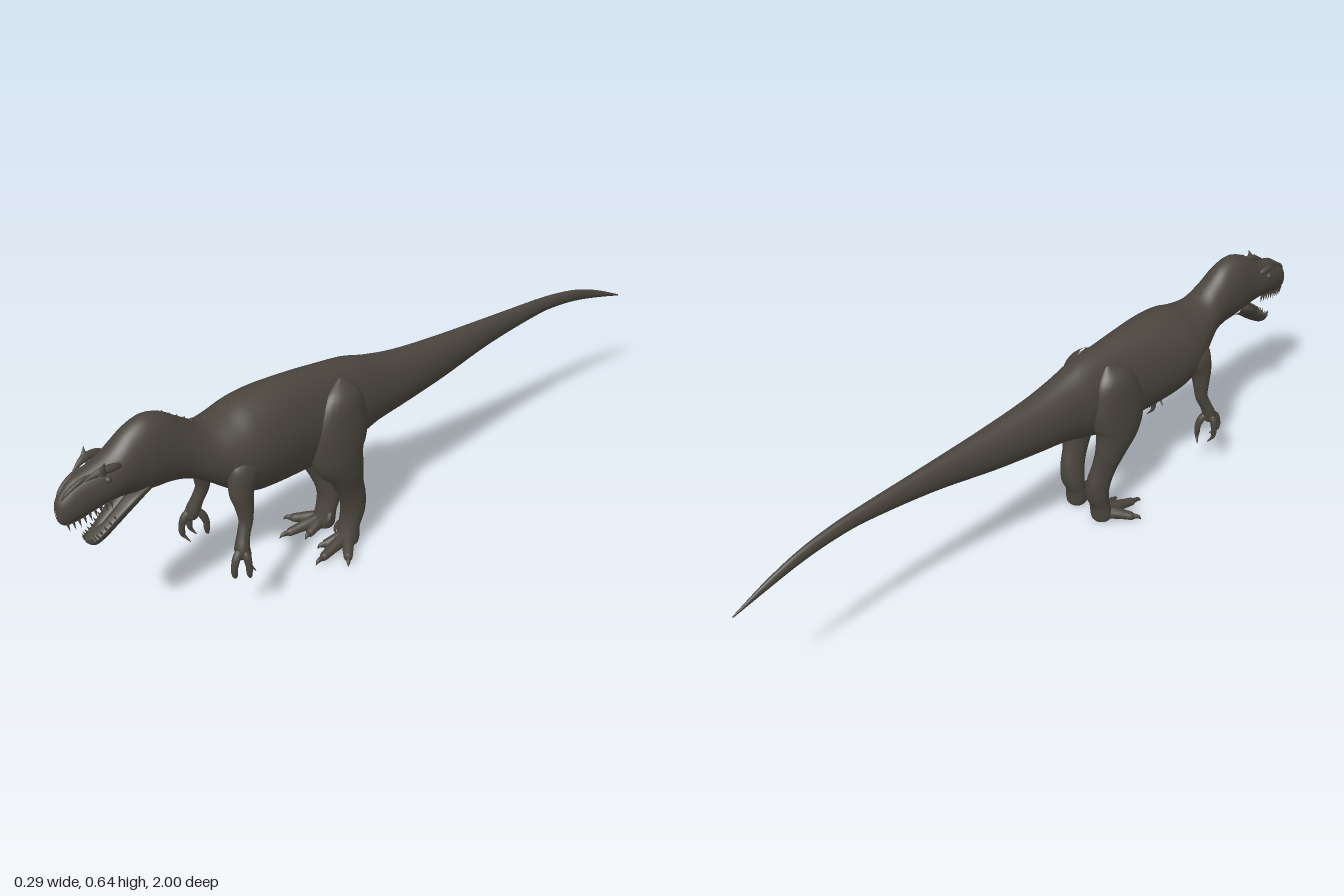
import * as THREE from 'three';

const hide = new THREE.MeshStandardMaterial({ color: 0x4a453d });
hide.name = 'dark hide';

// Smooth curves through stations [x, y, z, halfWidth, halfDepth]
function track(stations) {
  const pos = new THREE.CatmullRomCurve3(stations.map(s => new THREE.Vector3(s[0], s[1], s[2])), false, 'catmullrom', 0.5);
  const rad = new THREE.CatmullRomCurve3(stations.map(s => new THREE.Vector3(s[3], s[4], 0)), false, 'catmullrom', 0.5);
  return { pos, rad, n: stations.length - 1 };
}

// Elliptical rings lofted along a track; upright keeps the rings vertical, topScale flattens the upper half
function loft(name, stations, { seg = 16, steps = 5, upright = false, topScale = 1 } = {}) {
  const { pos, rad, n } = track(stations);
  const rows = n * steps, verts = [], index = [];
  for (let i = 0; i <= rows; i++) {
    const t = i / rows, p = pos.getPoint(t), r = rad.getPoint(t);
    const T = upright ? new THREE.Vector3(0, 0, 1) : pos.getTangent(t);
    const U = new THREE.Vector3(1, 0, 0).addScaledVector(T, -T.x).normalize();
    const V = T.clone().cross(U);
    for (let j = 0; j < seg; j++) {
      const a = (j / seg) * Math.PI * 2, s = Math.sin(a);
      const v = p.clone()
        .addScaledVector(U, Math.cos(a) * Math.max(r.x, 0.0004))
        .addScaledVector(V, s * Math.max(r.y, 0.0004) * (s > 0 ? topScale : 1));
      verts.push(v.x, v.y, v.z);
      if (i < rows) {
        const k = (j + 1) % seg, a0 = i * seg + j, b0 = i * seg + k;
        index.push(a0, b0, a0 + seg, b0, b0 + seg, a0 + seg);
      }
    }
  }
  const g = new THREE.BufferGeometry();
  g.setAttribute('position', new THREE.Float32BufferAttribute(verts, 3));
  g.setIndex(index);
  g.computeVertexNormals();
  const m = new THREE.Mesh(g, hide);
  m.name = name;
  return m;
}

// Small cone whose base sits at a point and which aims along a direction
function spike(name, base, dir, radius, length) {
  const g = new THREE.ConeGeometry(radius, length, 6);
  g.translate(0, length / 2, 0);
  const m = new THREE.Mesh(g, hide);
  m.name = name;
  m.position.set(...base);
  m.quaternion.setFromUnitVectors(new THREE.Vector3(0, 1, 0), new THREE.Vector3(...dir).normalize());
  return m;
}

// Body profile from tail tip to snout: [z, top, bottom, halfWidth]
const profile = [
  [-1, 0.343, 0.339, 0.002], [-0.9, 0.391, 0.368, 0.008], [-0.8, 0.428, 0.393, 0.011], [-0.7, 0.449, 0.408, 0.014],
  [-0.6, 0.46, 0.41, 0.017], [-0.4, 0.474, 0.39, 0.027], [-0.2, 0.487, 0.355, 0.045], [-0.05, 0.503, 0.335, 0.058],
  [0.05, 0.525, 0.322, 0.066], [0.13, 0.55, 0.298, 0.075], [0.22, 0.564, 0.275, 0.08], [0.3, 0.573, 0.282, 0.088],
  [0.4, 0.578, 0.29, 0.102], [0.48, 0.571, 0.303, 0.108], [0.54, 0.555, 0.335, 0.1], [0.6, 0.556, 0.383, 0.075],
  [0.65, 0.588, 0.415, 0.059], [0.7, 0.624, 0.43, 0.055], [0.75, 0.637, 0.435, 0.055], [0.8, 0.62, 0.445, 0.052],
  [0.85, 0.585, 0.455, 0.05], [0.9, 0.565, 0.45, 0.043], [0.95, 0.548, 0.438, 0.034], [0.98, 0.525, 0.437, 0.026],
  [0.995, 0.505, 0.447, 0.016], [1, 0.485, 0.468, 0.001],
];
const spine = profile.map(([z, t, b, w]) => [0, (t + b) / 2, z, w, (t - b) / 2]);

// Outline at a given z, by straight interpolation
function outline(z) {
  const i = Math.max(1, profile.findIndex(p => p[0] >= z));
  const a = profile[i - 1], b = profile[i], f = (z - a[0]) / (b[0] - a[0]);
  return a.map((v, k) => v + (b[k] - v) * f);
}

function makeHead() {
  const head = new THREE.Group();
  head.name = 'headDetails';
  const jaw = [
    [0, 0.462, 0.77, 0.036, 0.025], [0, 0.443, 0.82, 0.04, 0.032], [0, 0.408, 0.865, 0.031, 0.03],
    [0, 0.378, 0.905, 0.025, 0.026], [0, 0.366, 0.928, 0.019, 0.02], [0, 0.362, 0.937, 0.001, 0.002],
  ];
  head.add(loft('lowerJaw', jaw, { topScale: 0.25 }));
  head.add(loft('tongue', [
    [0, 0.455, 0.82, 0.014, 0.008], [0, 0.422, 0.865, 0.013, 0.007],
    [0, 0.4, 0.895, 0.01, 0.005], [0, 0.393, 0.908, 0.001, 0.001],
  ], { seg: 10 }));
  const jawTrack = track(jaw);
  for (const s of [-1, 1]) {
    // Teeth along both jaws
    for (let i = 0; i < 9; i++) {
      const z = 0.875 + i * 0.0135, [, t, b, w] = outline(z);
      head.add(spike('upperTooth', [s * w * 0.65, b + (t - b) * 0.14, z], [0, -1, -0.15], 0.004, 0.028));
      const u = 0.4 + i * 0.062, p = jawTrack.pos.getPoint(u), r = jawTrack.rad.getPoint(u);
      head.add(spike('lowerTooth', [s * r.x * 0.85, p.y, p.z], [0, 0.9, 0.45], 0.0035, 0.017));
    }
    // Brow ridge, horn, nasal ridge, eye and nostril rim
    head.add(loft('browRidge', [
      [s * 0.036, 0.555, 0.83, 0.002, 0.002], [s * 0.04, 0.562, 0.86, 0.009, 0.01],
      [s * 0.036, 0.562, 0.895, 0.009, 0.01], [s * 0.026, 0.548, 0.93, 0.002, 0.002],
    ], { seg: 10 }));
    head.add(spike('browHorn', [s * 0.038, 0.557, 0.893], [s * 0.25, 1, -0.25], 0.012, 0.034));
    head.add(loft('nasalRidge', [
      [s * 0.02, 0.553, 0.9, 0.003, 0.003], [s * 0.017, 0.545, 0.94, 0.006, 0.007],
      [s * 0.012, 0.524, 0.975, 0.005, 0.005], [s * 0.009, 0.505, 0.99, 0.001, 0.001],
    ], { seg: 8 }));
    const eye = new THREE.Mesh(new THREE.SphereGeometry(0.009, 12, 8), hide);
    eye.name = 'eye';
    eye.position.set(s * 0.042, 0.537, 0.88);
    head.add(eye);
    const nostril = new THREE.Mesh(new THREE.TorusGeometry(0.006, 0.002, 6, 12), hide);
    nostril.name = 'nostril';
    nostril.position.set(s * 0.02, 0.5, 0.978);
    nostril.rotation.y = s * 1.1;
    head.add(nostril);
  }
  return head;
}

function makeLeg(s) {
  const leg = new THREE.Group();
  leg.name = s > 0 ? 'leftLeg' : 'rightLeg';
  leg.add(loft('thighAndShin', [
    [0.052, 0.535, 0.19, 0.003, 0.01], [0.056, 0.49, 0.197, 0.042, 0.062], [0.063, 0.41, 0.213, 0.047, 0.092],
    [0.067, 0.33, 0.22, 0.044, 0.086], [0.068, 0.26, 0.197, 0.036, 0.058], [0.061, 0.2, 0.178, 0.03, 0.044],
    [0.055, 0.15, 0.163, 0.031, 0.04], [0.051, 0.105, 0.16, 0.034, 0.035], [0.05, 0.06, 0.172, 0.033, 0.027],
    [0.052, 0.02, 0.18, 0.033, 0.031], [0.052, 0.002, 0.182, 0.026, 0.026], [0.052, 0, 0.182, 0.001, 0.001],
  ].map(([x, ...r]) => [s * x, ...r]), { seg: 24 }));
  // Three splayed toes with claws: tip x and tip z
  for (const [x, z] of [[0.142, 0.255], [0.08, 0.318], [0.027, 0.268]]) {
    const at = (f, y, w, h) => [s * (0.054 + (x - 0.054) * f), y, 0.182 + (z - 0.182) * f, w, h];
    leg.add(loft('toe', [
      at(0, 0.023, 0.02, 0.022), at(0.35, 0.02, 0.017, 0.018), at(0.6, 0.016, 0.014, 0.014),
      at(0.76, 0.013, 0.012, 0.012), at(0.82, 0.013, 0.007, 0.009), at(0.93, 0.012, 0.005, 0.006), at(1, 0.004, 0.001, 0.001),
    ], { seg: 12 }));
  }
  // Small inner toe
  leg.add(loft('dewclaw', [
    [s * 0.03, 0.06, 0.175, 0.009, 0.009], [s * 0.02, 0.045, 0.187, 0.008, 0.008],
    [s * 0.018, 0.032, 0.197, 0.005, 0.005], [s * 0.022, 0.02, 0.2, 0.001, 0.001],
  ], { seg: 8 }));
  return leg;
}

function makeArm(s) {
  const arm = new THREE.Group();
  arm.name = s > 0 ? 'leftArm' : 'rightArm';
  arm.add(loft('upperArmAndForearm', [
    [0.075, 0.47, 0.51, 0.004, 0.008], [0.08, 0.43, 0.527, 0.028, 0.043], [0.083, 0.375, 0.545, 0.028, 0.036],
    [0.09, 0.325, 0.545, 0.021, 0.026], [0.094, 0.285, 0.546, 0.017, 0.02], [0.1, 0.25, 0.56, 0.017, 0.017],
    [0.107, 0.215, 0.573, 0.02, 0.019], [0.11, 0.193, 0.577, 0.015, 0.016], [0.11, 0.185, 0.577, 0.001, 0.001],
  ].map(([x, ...r]) => [s * x, ...r])));
  // Three fingers with hooked claws: knuckle x, z and sideways hook of the tip
  for (const [x, z, hook, drop] of [[0.132, 0.572, -0.012, 0], [0.116, 0.606, -0.018, 0.005], [0.091, 0.545, 0.014, -0.002]]) {
    arm.add(loft('finger', [
      [s * 0.108, 0.222, 0.572, 0.01, 0.01], [s * (x * 0.75 + 0.027), 0.198, z * 0.7 + 0.172, 0.011, 0.011],
      [s * x, 0.172, z, 0.009, 0.009], [s * x, 0.155, z, 0.0085, 0.0085],
      [s * (x + hook * 0.1), 0.139 + drop, z - 0.002, 0.005, 0.006], [s * (x + hook), 0.121 + drop, z - 0.012, 0.001, 0.001],
    ], { seg: 10 }));
  }
  return arm;
}

export function createModel() {
  const model = new THREE.Group();
  model.name = 'theropod';
  model.add(loft('body', spine, { seg: 36, upright: true }), makeHead());
  for (const s of [-1, 1]) model.add(makeLeg(s), makeArm(s));
  // Row of low scutes down the back
  const scutes = new THREE.Group();
  scutes.name = 'backScutes';
  for (let z = -0.6; z < 0.82; z += 0.02) {
    scutes.add(spike('scute', [0, outline(z)[1] - 0.004, z], [0, 1, -0.4], 0.006, 0.009));
  }
  model.add(scutes);
  return model;
}
